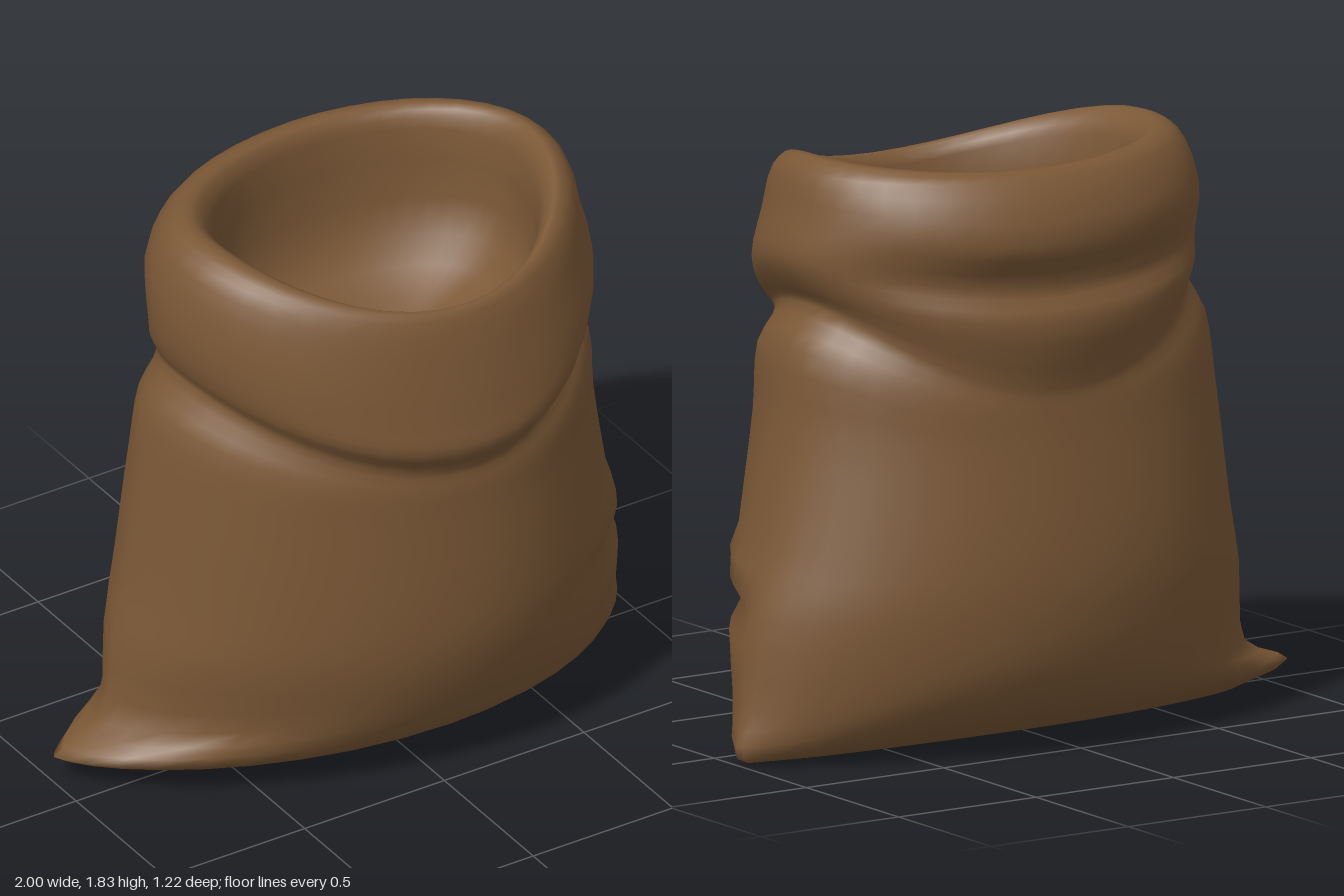
import * as THREE from 'three';

const SEGMENTS = 40;
const STEPS = 3; // rings per profile span
const CENTRE_X = 0.1;

// Profile up one side of the sack, over the rim and down inside.
// Points are [distance, height]; the four profiles match point by point.
const profile = (points) =>
  new THREE.CatmullRomCurve3(points.map(([d, y]) => new THREE.Vector3(d, y, 0)));

const leftEdge = profile([
  [0.86, 0.0], [1.0, 0.02], [0.975, 0.16], [0.94, 0.44], [0.88, 0.65], [0.805, 1.02], [0.78, 1.26],
  [0.7, 1.38], [0.74, 1.44], [0.78, 1.53], [0.75, 1.66], [0.715, 1.79], [0.65, 1.83],
  [0.6, 1.75], [0.57, 1.4], [0.28, 1.23],
]);
const rightEdge = profile([
  [-0.8, 0.02], [-1.0, 0.09], [-0.84, 0.17], [-0.8, 0.44], [-0.76, 0.65], [-0.715, 1.02], [-0.68, 1.25],
  [-0.61, 1.37], [-0.63, 1.42], [-0.65, 1.5], [-0.645, 1.66], [-0.59, 1.8], [-0.51, 1.83],
  [-0.44, 1.75], [-0.41, 1.4], [-0.1, 1.23],
]);
const frontEdge = profile([
  [0.28, 0.04], [0.42, 0.14], [0.51, 0.3], [0.56, 0.48], [0.57, 0.66], [0.555, 0.95], [0.55, 1.06],
  [0.545, 1.13], [0.605, 1.22], [0.59, 1.32], [0.555, 1.49], [0.51, 1.65], [0.485, 1.675],
  [0.455, 1.63], [0.42, 1.36], [0.16, 1.23],
]);
const backEdge = profile([
  [-0.3, 0.03], [-0.46, 0.11], [-0.57, 0.24], [-0.61, 0.46], [-0.605, 0.65], [-0.56, 0.95], [-0.545, 1.06],
  [-0.54, 1.13], [-0.58, 1.34], [-0.525, 1.45], [-0.6, 1.59], [-0.52, 1.78], [-0.45, 1.8],
  [-0.42, 1.74], [-0.37, 1.38], [-0.13, 1.23],
]);
const RINGS = (leftEdge.points.length - 1) * STEPS + 1;

// Slanting cloth fold on the lower left front
function foldDepth(angle, y) {
  const t = angle / 1.15;
  if (t <= 0 || t >= 1 || y > 0.8) return 0;
  const line = 0.44 + 0.1 * t * t;
  const bump = (offset) => Math.exp(-(((y - line - offset) / 0.045) ** 2));
  return Math.sin(Math.PI * t) * (0.07 * bump(0) - 0.03 * bump(0.09));
}

// Blends the four profiles around the sack; low rings pinch to points at the sides
function ringPoint(t, angle) {
  const c = Math.cos(angle), s = Math.sin(angle);
  const side = (c > 0 ? leftEdge : rightEdge).getPoint(t);
  const face = (s > 0 ? frontEdge : backEdge).getPoint(t);
  const y = c * c * side.y + s * s * face.y;
  const shrink = 1 - foldDepth(angle, y);
  const pinch = 1 + 0.65 * Math.exp(-2.4 * side.y);
  const sideZ = -0.13 + 0.045 * side.y;
  return [
    CENTRE_X + Math.abs(c) * (side.x - CENTRE_X) * shrink,
    y,
    sideZ + (face.x - sideZ) * Math.pow(Math.abs(s), pinch) * shrink,
  ];
}

function sackGeometry() {
  const positions = [], index = [];
  for (let r = 0; r < RINGS; r++) {
    for (let i = 0; i < SEGMENTS; i++) {
      positions.push(...ringPoint(r / (RINGS - 1), (i / SEGMENTS) * Math.PI * 2));
    }
  }
  // centres of the underside and of the floor inside
  const bottom = RINGS * SEGMENTS, floor = bottom + 1;
  positions.push(CENTRE_X, 0.015, -0.08, CENTRE_X, 1.21, 0.01);

  const last = (RINGS - 1) * SEGMENTS;
  for (let i = 0; i < SEGMENTS; i++) {
    const n = (i + 1) % SEGMENTS;
    for (let k = 0; k < last; k += SEGMENTS) {
      const a = k + i, b = k + n, c = a + SEGMENTS, d = b + SEGMENTS;
      index.push(a, c, b, b, c, d);
    }
    index.push(bottom, i, n, last + i, floor, last + n);
  }
  const geometry = new THREE.BufferGeometry();
  geometry.setAttribute('position', new THREE.Float32BufferAttribute(positions, 3));
  geometry.setIndex(index);
  geometry.computeVertexNormals();
  return geometry;
}

export function createModel() {
  const group = new THREE.Group();
  group.name = 'openSack';
  const burlap = new THREE.MeshStandardMaterial({ color: 0x7b5836 });
  burlap.name = 'brown burlap';
  const sack = new THREE.Mesh(sackGeometry(), burlap);
  sack.name = 'sackCloth';
  group.add(sack);
  return group;
}
